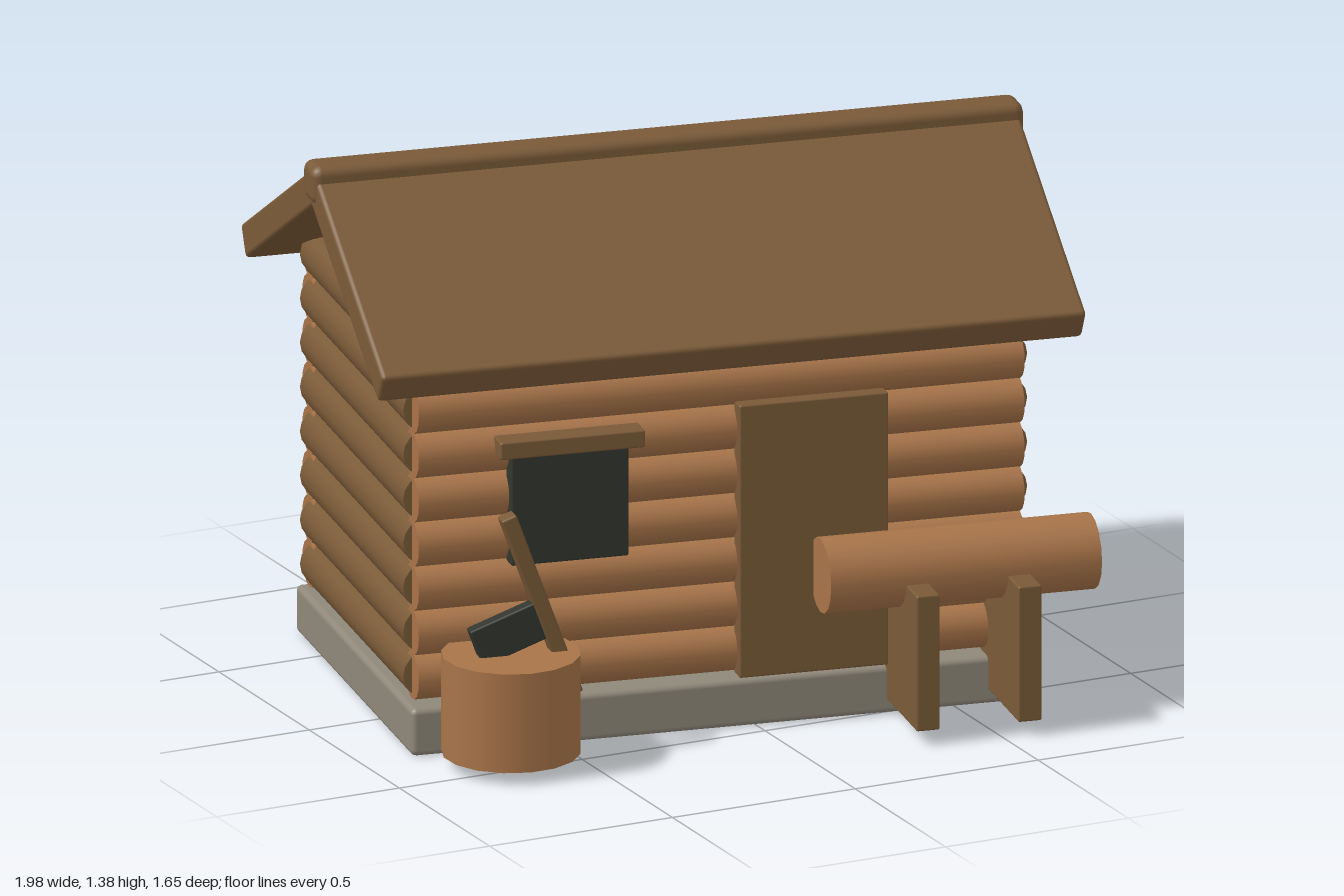
import * as THREE from 'three';
import { RoundedBoxGeometry } from 'three/addons/geometries/RoundedBoxGeometry.js';

const material = (name, color) => {
  const m = new THREE.MeshStandardMaterial({ color });
  m.name = name;
  return m;
};

export function createModel() {
  const logWood = material('log wood', 0xa87449);
  const darkWood = material('dark wood', 0x7a5a38);
  const stone = material('stone', 0x8f887a);
  const dark = material('dark iron and glass', 0x33362f);

  const model = new THREE.Group();
  const cabin = new THREE.Group();
  cabin.name = 'cabin';
  cabin.position.z = -0.0625;
  cabin.rotation.y = THREE.MathUtils.degToRad(-10);
  model.add(cabin);

  const add = (name, geometry, mat, x, y, z, parent = cabin) => {
    const mesh = new THREE.Mesh(geometry, mat);
    mesh.name = name;
    mesh.position.set(x, y, z);
    parent.add(mesh);
    return mesh;
  };
  // box with softly rounded edges
  const box = (name, mat, [w, h, d], [x, y, z], radius = 0.005, parent = cabin) =>
    add(name, new RoundedBoxGeometry(w, h, d, 2, radius), mat, x, y, z, parent);
  // horizontal log along x or z
  const log = (name, mat, axis, length, radius, [x, y, z]) => {
    const g = new THREE.CylinderGeometry(radius, radius, length, 16);
    if (axis === 'x') g.rotateZ(Math.PI / 2);
    else g.rotateX(Math.PI / 2);
    return add(name, g, mat, x, y, z);
  };

  box('foundation', stone, [1.584, 0.122, 1.02], [0, 0.064, 0], 0.015);

  // Log walls
  for (let i = 0; i < 8; i++) {
    const y = 0.195 + i * 0.1145;
    for (const side of [-1, 1]) {
      log(side > 0 ? 'frontLog' : 'backLog', logWood, 'x', 1.548, 0.06, [0, y, side * 0.45]);
      log(side > 0 ? 'leftLog' : 'rightLog', darkWood, 'z', 0.905, 0.06, [side * 0.737, y, 0]);
    }
  }

  // Roof: two sloped panels and a ridge beam
  const slope = Math.atan(0.554);
  for (const side of [-1, 1]) {
    const panel = box(side > 0 ? 'frontRoof' : 'backRoof', darkWood,
      [1.8, 0.087, 0.69], [0, 1.158, side * 0.3], 0.012);
    panel.rotation.x = side * slope;
  }
  box('ridgeBeam', darkWood, [1.82, 0.1, 0.1], [0, 1.337, 0], 0.025);

  // Door and window
  box('door', darkWood, [0.38, 0.705, 0.05], [0.23, 0.488, 0.505]);
  box('window', dark, [0.3, 0.3, 0.05], [-0.393, 0.63, 0.505]);
  box('windowLintel', darkWood, [0.37, 0.045, 0.08], [-0.393, 0.787, 0.515]);

  // Log resting on two plank supports
  log('restingLog', logWood, 'x', 0.692, 0.095, [0.574, 0.405, 0.592]);
  for (const x of [0.451, 0.711]) {
    box('logSupport', darkWood, [0.06, 0.35, 0.364], [x, 0.215, 0.592]);
  }

  // Chopping block with axe
  const block = add('choppingBlock', new THREE.CylinderGeometry(0.172, 0.172, 0.255, 16),
    logWood, -0.571, 0.162, 0.621);
  block.material = logWood;
  const axe = new THREE.Group();
  axe.name = 'axe';
  axe.position.set(-0.497, 0.41, 0.624);
  axe.rotation.z = THREE.MathUtils.degToRad(20);
  cabin.add(axe);
  box('axeHandle', darkWood, [0.04, 0.5, 0.045], [0, 0, 0], 0.005, axe);
  box('axeHead', dark, [0.185, 0.1, 0.038], [-0.098, -0.035, 0], 0.005, axe);

  return model;
}
